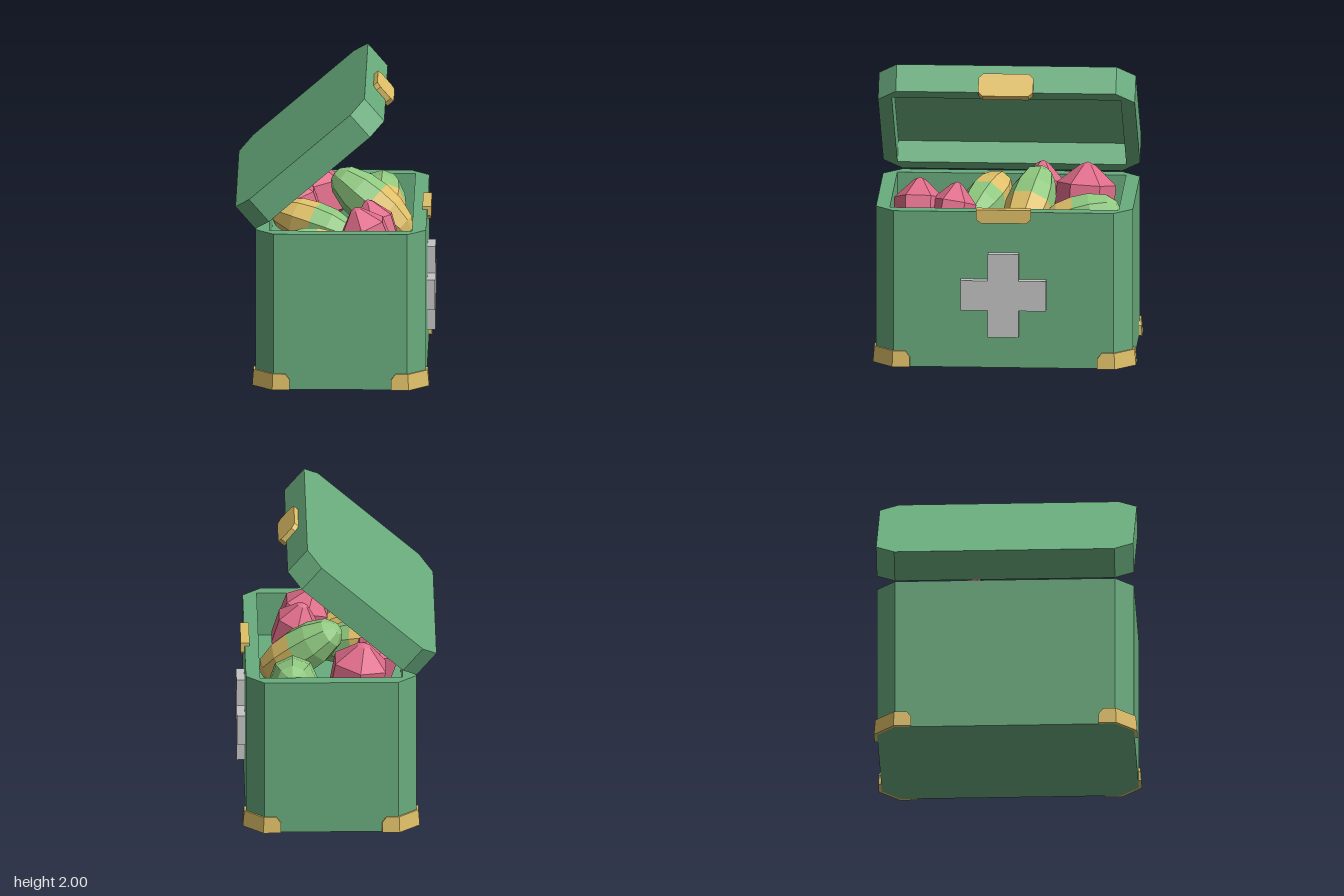
import * as THREE from 'three';

const mat = (name, color, extra = {}) => {
  const m = new THREE.MeshStandardMaterial({ color, flatShading: true, ...extra });
  m.name = name;
  return m;
};

const W = 1.155, D = 1.74, H = 1.085, CH = 0.125, WALL = 0.095;

// Plan outline of the case with cut corners and a square opening; x runs 0..W
function shellGeometry(height) {
  const d = D / 2;
  const s = new THREE.Shape([
    [CH, -d], [W - CH, -d], [W, -d + CH], [W, d - CH],
    [W - CH, d], [CH, d], [0, d - CH], [0, -d + CH],
  ].map(p => new THREE.Vector2(...p)));
  const i = d - WALL;
  s.holes.push(new THREE.Path([
    [WALL, -i], [WALL, i], [W - WALL, i], [W - WALL, -i],
  ].map(p => new THREE.Vector2(...p))));
  return new THREE.ExtrudeGeometry(s, { depth: height, bevelEnabled: false }).rotateX(-Math.PI / 2);
}

// Plate drawn in z and y, thickened along +x
function plateGeometry(points, depth) {
  const s = new THREE.Shape(points.map(p => new THREE.Vector2(...p)));
  return new THREE.ExtrudeGeometry(s, { depth, bevelEnabled: false }).rotateY(Math.PI / 2);
}

// Corner guard wrapped around a cut corner whose uncut point is the origin
function guardGeometry() {
  const path = [ // x, z, outward x, outward z, height
    [-0.235, 0, 0, 1, 0.07], [-0.205, 0, 0, 1, 0.11], [-CH, 0, 0.414, 1, 0.11],
    [0, -CH, 1, 0.414, 0.11], [0, -0.205, 1, 0, 0.11], [0, -0.235, 1, 0, 0.07],
  ];
  const pos = [], idx = [];
  path.forEach(([x, z, ox, oz, h], i) => {
    const lo = 0.021, hi = 0.021 - h * 0.08;
    pos.push(x, 0, z, x + ox * lo, 0, z + oz * lo, x + ox * hi, h, z + oz * hi, x, h, z);
    if (i === path.length - 1) return;
    for (let j = 0; j < 4; j++) {
      const a = i * 4 + j, d = i * 4 + (j + 1) % 4, b = a + 4, c = d + 4;
      idx.push(a, b, c, a, c, d);
    }
  });
  const e = (path.length - 1) * 4;
  idx.push(0, 1, 2, 0, 2, 3, e, e + 2, e + 1, e, e + 3, e + 2);
  const g = new THREE.BufferGeometry();
  g.setAttribute('position', new THREE.Float32BufferAttribute(pos, 3));
  g.setIndex(idx);
  const flat = g.toNonIndexed();
  flat.computeVertexNormals();
  return flat;
}

// Turn a group so that its y axis runs from b up to a
function alongAxis(group, a, b) {
  const A = new THREE.Vector3(...a), B = new THREE.Vector3(...b);
  group.position.copy(A).add(B).multiplyScalar(0.5);
  group.quaternion.setFromUnitVectors(new THREE.Vector3(0, 1, 0), A.clone().sub(B).normalize());
  return A.distanceTo(B);
}

function lathe(points, sides) {
  const g = new THREE.LatheGeometry(points.map(p => new THREE.Vector2(...p)), sides).toNonIndexed();
  g.computeVertexNormals();
  return g;
}

export function createModel() {
  const green = mat('case green', 0x69ac7d);
  const gold = mat('gold', 0xe0c068);
  const grey = mat('light grey', 0xc4c4c4);
  const pink = mat('crystal pink', 0xe06c8a);
  const leaf = mat('capsule green', 0x8fc87f);

  const model = new THREE.Group();
  model.name = 'openCase';
  const add = (parent, name, geo, m, x = 0, y = 0, z = 0) => {
    const mesh = new THREE.Mesh(geo, m);
    mesh.name = name;
    mesh.position.set(x, y, z);
    parent.add(mesh);
    return mesh;
  };
  const x0 = -0.54, x1 = x0 + W;
  const innerW = W - 2 * WALL, innerD = D - 2 * WALL;

  // Case walls and raised floor
  add(model, 'caseWalls', shellGeometry(H), green, x0);
  const floor = 0.78;
  add(model, 'caseFloor', new THREE.BoxGeometry(innerW, floor, innerD), green, x0 + W / 2, floor / 2);

  // Lid, hinged on the -x edge
  const lid = new THREE.Group();
  lid.name = 'lid';
  lid.position.set(x0, 1.09, 0);
  lid.rotation.z = 0.714;
  model.add(lid);
  add(lid, 'lidRim', shellGeometry(0.205), green);
  add(lid, 'lidPanel', new THREE.BoxGeometry(innerW, 0.045, innerD), green, W / 2, 0.1825);

  // Clasp halves on lid and case
  add(lid, 'lidClasp', plateGeometry([
    [-0.155, -0.045], [0.155, -0.045], [0.186, -0.012], [0.186, 0.093],
    [0.155, 0.126], [-0.155, 0.126], [-0.186, 0.093], [-0.186, -0.012],
  ], 0.055), gold, 1.135);
  add(model, 'caseClasp', plateGeometry([
    [-0.155, 1.012], [0.155, 1.012], [0.186, 1.04], [0.186, 1.105],
    [-0.186, 1.105], [-0.186, 1.04],
  ], 0.06), gold, 0.582);

  // Raised cross on the +x side
  const a = 0.104, b = 0.29;
  add(model, 'cross', plateGeometry([
    [-a, -b], [a, -b], [a, -a], [b, -a], [b, a], [a, a],
    [a, b], [-a, b], [-a, a], [-b, a], [-b, -a], [-a, -a],
  ], 0.06), grey, 0.61, 0.513);

  // Corner guards
  const guard = guardGeometry();
  [[x1, 1], [x1, -1], [x0, -1], [x0, 1]].forEach(([x, s], k) => {
    add(model, 'cornerGuard', guard, gold, x, 0, s * D / 2).rotation.y = k * Math.PI / 2;
  });

  // Two-tone capsules: tip, tail, radius, tip colour, tail colour
  [
    [[-0.02, 1.23, -0.23], [0.49, 0.84, -0.08], 0.165, leaf, gold],
    [[-0.44, 1.05, 0.06], [0.14, 0.9, 0.26], 0.15, gold, leaf],
    [[0.3, 1.05, -0.77], [0.28, 0.86, -0.22], 0.17, leaf, gold],
    [[-0.36, 0.96, 0.64], [0.08, 0.9, 0.6], 0.14, leaf, gold],
  ].forEach(([tip, tail, r, m1, m2]) => {
    const g = new THREE.Group();
    g.name = 'capsule';
    const h = alongAxis(g, tip, tail) / 2;
    const prof = [[r, 0], [r * 0.93, h * 0.4], [r * 0.65, h * 0.8], [r * 0.3, h * 0.97], [0, h]];
    add(g, 'capsuleTip', lathe(prof, 8), m1);
    add(g, 'capsuleTail', lathe(prof.map(([x, y]) => [x, -y]).reverse(), 8), m2);
    model.add(g);
  });

  // Pink crystals: top point, bottom point, radius
  [
    [[0.13, 1.2, 0.59], [0.3, 0.76, 0.6], 0.17],
    [[0.21, 1.19, 0.33], [0.34, 0.76, 0.4], 0.15],
    [[-0.19, 1.24, -0.53], [-0.1, 0.75, -0.5], 0.2],
    [[-0.34, 1.21, -0.22], [-0.18, 0.75, -0.2], 0.16],
  ].forEach(([top, bottom, r]) => {
    const g = new THREE.Group();
    g.name = 'crystal';
    const h = alongAxis(g, top, bottom) / 2;
    add(g, 'crystalBody', lathe([[0, -h], [r, -h * 0.4], [r, h * 0.4], [r * 0.25, h * 0.92], [0, h]], 6), pink);
    model.add(g);
  });

  return model;
}
